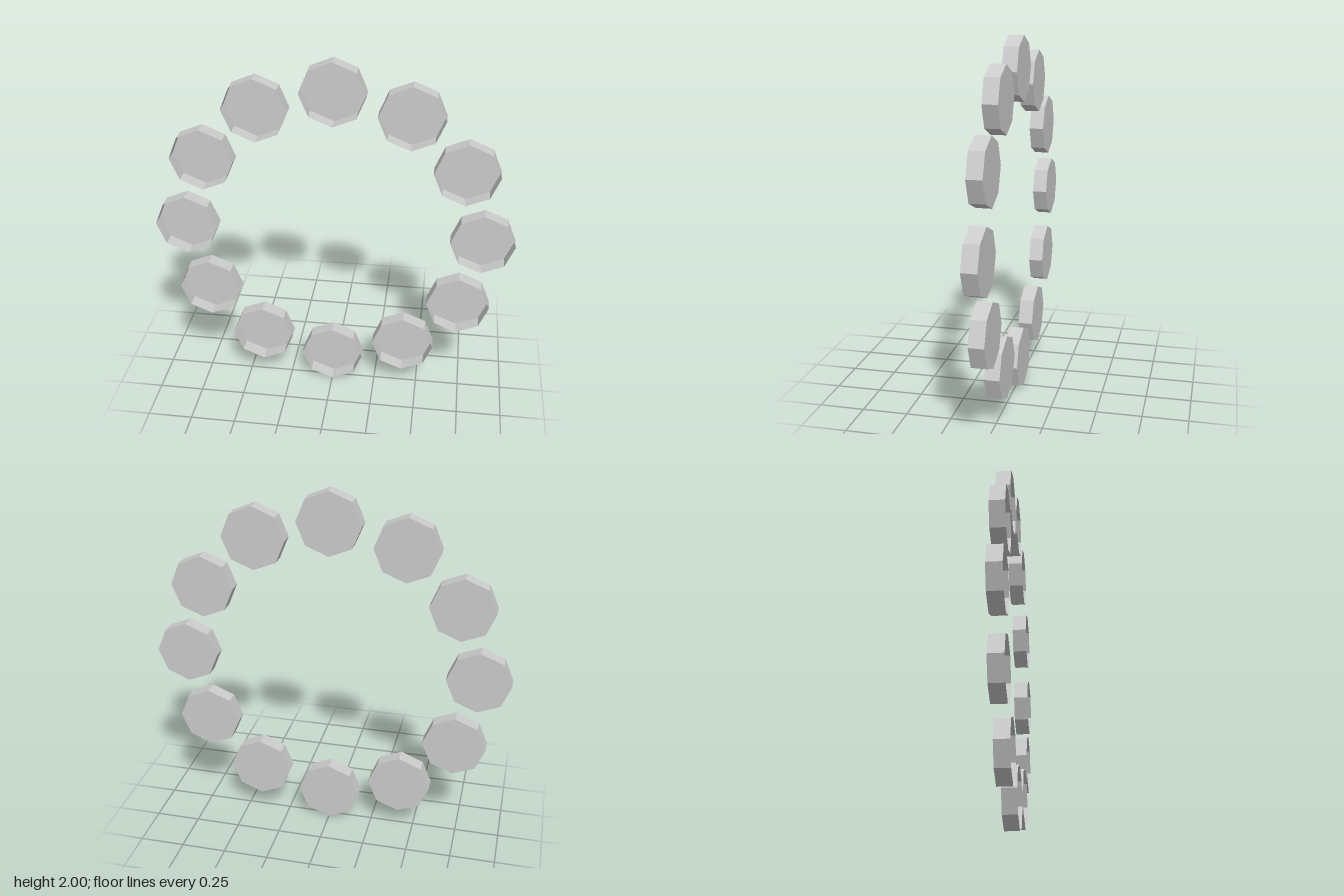
import * as THREE from 'three';

const COUNT = 12;        // cups around the ring
const SIDES = 8;
const CUP_RADIUS = 0.1765;
const RING_RADIUS = 1 - CUP_RADIUS;
const DEPTH = 0.082;

export function createModel() {
  const model = new THREE.Group();
  model.name = 'cupRing';

  const material = new THREE.MeshStandardMaterial({
    color: 0xcccccc, flatShading: true, side: THREE.DoubleSide,
  });

  // Octagonal wall, open at the front, with corners on the x and y axes
  const wallGeometry = new THREE.CylinderGeometry(CUP_RADIUS, CUP_RADIUS, DEPTH, SIDES, 1, true);
  wallGeometry.rotateX(Math.PI / 2);

  // Octagonal plate closing the back, facing -z
  const backGeometry = new THREE.CircleGeometry(CUP_RADIUS, SIDES);
  backGeometry.rotateY(Math.PI);
  backGeometry.translate(0, 0, -DEPTH / 2);

  // All cups stay upright as they go around the ring
  for (let i = 0; i < COUNT; i++) {
    const angle = (i / COUNT) * Math.PI * 2;
    const cup = new THREE.Group();
    cup.name = `cup${i + 1}`;
    cup.position.set(Math.sin(angle) * RING_RADIUS, 1 + Math.cos(angle) * RING_RADIUS, 0);

    const wall = new THREE.Mesh(wallGeometry, material);
    wall.name = 'cupWall';
    const back = new THREE.Mesh(backGeometry, material);
    back.name = 'cupBack';

    cup.add(wall, back);
    model.add(cup);
  }
  return model;
}
